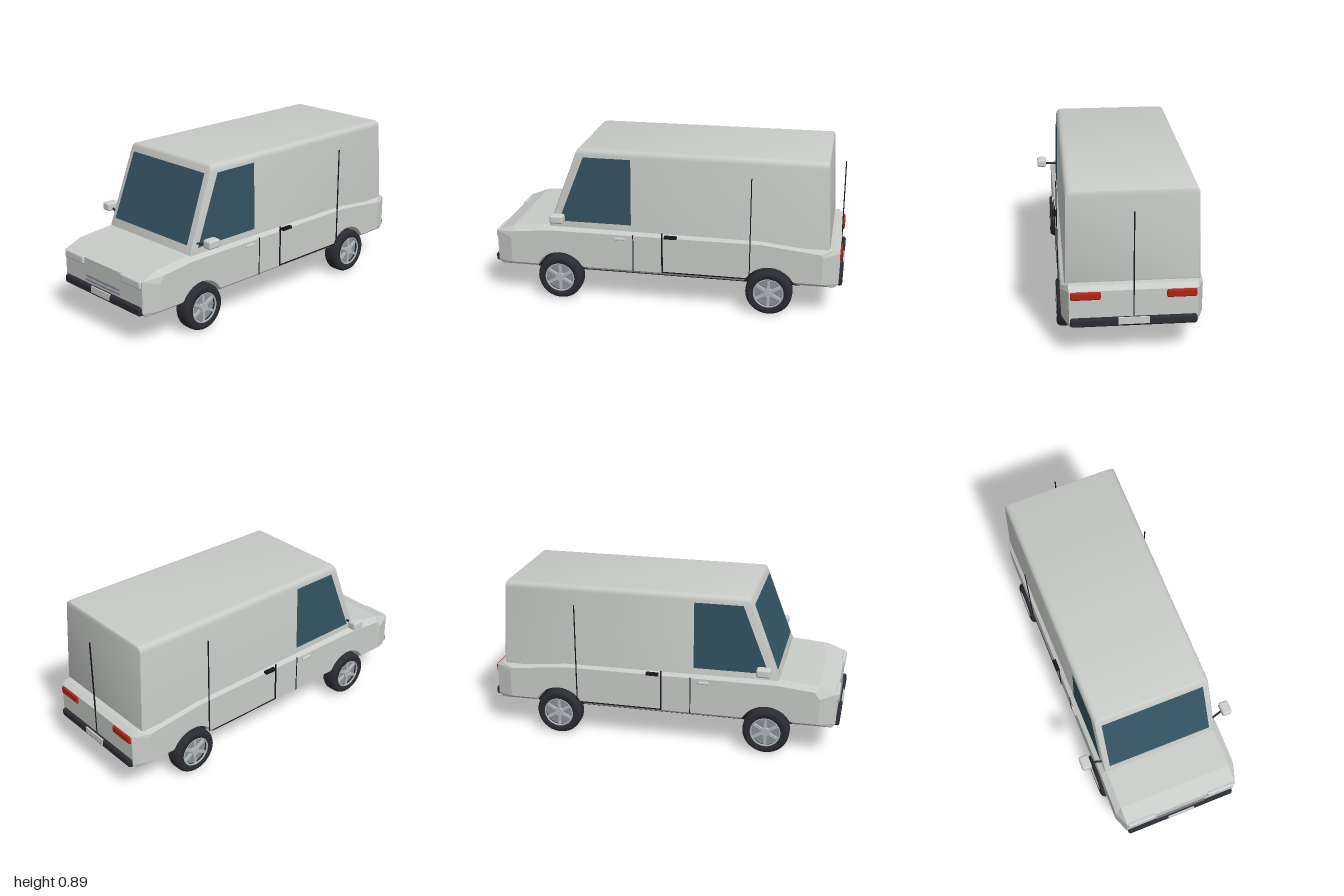
import * as THREE from 'three';
import { toCreasedNormals } from 'three/addons/utils/BufferGeometryUtils.js';
import { RoundedBoxGeometry } from 'three/addons/geometries/RoundedBoxGeometry.js';

const mat = (name, color, side = THREE.FrontSide) => {
  const m = new THREE.MeshStandardMaterial({ color, side });
  m.name = name;
  return m;
};
const PAINT = mat('body paint', 0xc8cbc8);
const GLASS = mat('window glass', 0x335361, THREE.DoubleSide);
const RUBBER = mat('dark rubber', 0x2b2b33);
const BLACK = mat('black', 0x17171a);
const LAMP = mat('lamp grey', 0xccd0ce);
const RED = mat('tail lamp red', 0xb02418);
const RIM = mat('rim grey', 0x899298);
const SPOKE = mat('spoke grey', 0xb4b9bb);
const TRIM = mat('grille grey', 0x74747f);

function add(parent, name, geometry, material, x = 0, y = 0, z = 0) {
  const m = new THREE.Mesh(geometry, material);
  m.name = name;
  m.position.set(x, y, z);
  parent.add(m);
  return m;
}
const box = (w, h, d) => new THREE.BoxGeometry(w, h, d);
const soft = (w, h, d, r) => new RoundedBoxGeometry(w, h, d, 3, r);

// Moves every vertex of a geometry by a rule
function warp(geometry, rule) {
  const p = geometry.attributes.position, v = new THREE.Vector3();
  for (let i = 0; i < p.count; i++) {
    rule(v.fromBufferAttribute(p, i));
    p.setXYZ(i, v.x, v.y, v.z);
  }
  geometry.computeVertexNormals();
  return geometry;
}

function quad(points) {
  const g = new THREE.BufferGeometry().setFromPoints(points.map(p => new THREE.Vector3(...p)));
  g.setIndex([0, 1, 2, 0, 2, 3]);
  g.computeVertexNormals();
  return g;
}

// Lower body: side profile with wheel arches, chamfered towards both flanks
function lowerBody() {
  const pts = [[0.96, 0.175], [0.98, 0.2], [0.98, 0.375], [0.88, 0.415], [0.66, 0.435],
    [-0.55, 0.435], [-0.95, 0.4], [-0.98, 0.38], [-0.98, 0.2], [-0.96, 0.175]];
  for (const c of [-0.6, 0.6]) {
    const a0 = Math.asin(0.045 / 0.15), n = 12;
    for (let i = 0; i <= n; i++) {
      const a = Math.PI - a0 - (Math.PI - 2 * a0) * i / n;
      pts.push([c + 0.15 * Math.cos(a), 0.13 + 0.15 * Math.sin(a)]);
    }
  }
  const shape = new THREE.Shape(pts.map(p => new THREE.Vector2(...p)));
  const g = new THREE.ExtrudeGeometry(shape, { depth: 3, steps: 3, bevelEnabled: false });
  const stations = [0.365, 0.33, -0.33, -0.365];
  return warp(g, v => {
    const layer = Math.round(v.z);
    let z = v.x, y = v.y;
    if (layer === 0 || layer === 3) {
      if (Math.abs(z) > 0.85) z = Math.sign(z) * (0.85 + (Math.abs(z) - 0.85) * 0.3);
      if (y < 0.185) y = 0.2;
      if (y > 0.3) y -= 0.025;
    }
    v.set(stations[layer], y, z);
  });
}

// Cabin planes
const rise = y => (y - 0.43) / 0.46;
const frontZ = y => 0.665 - 0.175 * rise(y);
const rearZ = y => -0.925 + 0.025 * rise(y);
const halfW = (y, z) => 0.347 - 0.01 * rise(y) - 0.008 * (z + 0.9) / 1.5;

// Cabin: round-shouldered section stretched between the sloping front and rear
function cabinShell() {
  const w = 0.34, b = 0.4, t = 0.89, r = 0.035;
  const s = new THREE.Shape();
  s.moveTo(-w, b);
  s.lineTo(w, b);
  s.lineTo(w, t - r);
  s.quadraticCurveTo(w, t, w - r, t);
  s.lineTo(-w + r, t);
  s.quadraticCurveTo(-w, t, -w, t - r);
  const bt = 0.008;
  const g = new THREE.ExtrudeGeometry(s, { depth: 1, curveSegments: 5, bevelThickness: bt,
    bevelSize: 0.012, bevelOffset: -0.012, bevelSegments: 2 });
  warp(g, v => {
    const k = (v.z + bt) / (1 + 2 * bt);
    v.z = rearZ(v.y) + k * (frontZ(v.y) - rearZ(v.y));
    v.x *= halfW(v.y, v.z) / w;
  });
  return toCreasedNormals(g, 0.6);
}

// Wheel, with its outer face towards +x
const TYRE_GEO = new THREE.LatheGeometry([[0.082, -0.046], [0.112, -0.047], [0.123, -0.042],
  [0.13, -0.028], [0.131, 0], [0.13, 0.028], [0.123, 0.042], [0.112, 0.047], [0.086, 0.046],
  [0.082, 0.03], [0.082, -0.046]].map(p => new THREE.Vector2(...p)), 40);
function wheel() {
  const g = new THREE.Group();
  const disc = (name, r, w, m, x) => {
    add(g, name, new THREE.CylinderGeometry(r, r, w, 32), m, x).rotation.z = -Math.PI / 2;
  };
  add(g, 'tyre', TYRE_GEO, RUBBER).rotation.z = -Math.PI / 2;
  disc('innerWheel', 0.083, 0.02, BLACK, -0.01);
  disc('rim', 0.083, 0.025, RIM, 0.0125);
  add(g, 'rimEdge', new THREE.TorusGeometry(0.082, 0.005, 8, 40), SPOKE, 0.042).rotation.y = Math.PI / 2;
  disc('hub', 0.024, 0.03, SPOKE, 0.03);
  for (let i = 0; i < 6; i++) {
    const arm = new THREE.Group();
    arm.rotation.x = i * Math.PI / 3;
    add(arm, 'spoke', box(0.016, 0.064, 0.014), SPOKE, 0.03, 0.05);
    g.add(arm);
  }
  return g;
}

export function createModel() {
  const van = new THREE.Group();
  van.name = 'van';
  add(van, 'lowerBody', lowerBody(), PAINT);
  add(van, 'cabin', cabinShell(), PAINT);
  add(van, 'underside', soft(0.54, 0.036, 1.54, 0.012), BLACK, 0, 0.158);

  // Windscreen
  const wz = y => frontZ(y) + 0.004;
  add(van, 'windscreen', quad([[-0.304, 0.48, wz(0.48)], [0.304, 0.48, wz(0.48)],
    [0.294, 0.845, wz(0.845)], [-0.294, 0.845, wz(0.845)]]), GLASS);

  // Bumpers, number plates and grille
  for (const s of [-1, 1]) {
    const end = s > 0 ? 'front' : 'rear';
    add(van, end + 'Bumper', soft(0.65, 0.048, 0.04, 0.014), RUBBER, 0, 0.208, s * 0.98);
    add(van, end + 'Plate', box(0.16, 0.037, 0.008), LAMP, 0, 0.217, s * 0.998);
  }
  for (const y of [0.252, 0.275]) add(van, 'grilleBar', soft(0.296, 0.008, 0.014, 0.003), TRIM, 0, y, 0.981);
  add(van, 'rearDoorSeam', box(0.006, 0.6, 0.006), BLACK, 0, 0.505, -0.98);

  for (const s of [-1, 1]) {
    const side = new THREE.Group();
    side.name = s > 0 ? 'leftSide' : 'rightSide';
    van.add(side);

    // Side window
    const corners = [[0.465, 0.185], [0.465, 0.605], [0.845, 0.455], [0.845, 0.185]];
    add(side, 'sideWindow', quad(corners.map(([y, z]) => [s * (halfW(y, z) + 0.003), y, z])), GLASS);

    // Lamps
    add(side, 'headlamp', soft(0.166, 0.048, 0.025, 0.011), LAMP, s * 0.242, 0.356, 0.979);
    add(side, 'tailLamp', soft(0.155, 0.044, 0.022, 0.01), RED, s * 0.245, 0.355, -0.98);

    // Door seams and handles
    add(side, 'frontDoorSeam', box(0.005, 0.22, 0.005), BLACK, s * 0.365, 0.305, 0.17);
    add(side, 'slidingDoorFrontSeam', box(0.006, 0.235, 0.008), BLACK, s * 0.366, 0.32, 0.003);
    add(side, 'slidingDoorRearSeam', box(0.005, 0.58, 0.005), BLACK, s * 0.368, 0.5, -0.49);
    add(side, 'slidingDoorLowerSeam', box(0.005, 0.006, 0.47), BLACK, s * 0.365, 0.204, -0.232);
    add(side, 'frontDoorHandle', soft(0.016, 0.016, 0.06, 0.005), LAMP, s * 0.367, 0.388, 0.245);
    add(side, 'slidingDoorHandle', box(0.024, 0.014, 0.07), BLACK, s * 0.37, 0.418, -0.045);

    // Mirror
    add(side, 'mirror', soft(0.056, 0.048, 0.078, 0.012), LAMP, s * 0.427, 0.509, 0.587);
    const arm = new THREE.LineCurve3(new THREE.Vector3(s * 0.33, 0.488, 0.61), new THREE.Vector3(s * 0.41, 0.499, 0.59));
    add(side, 'mirrorArm', new THREE.TubeGeometry(arm, 1, 0.006, 8), RUBBER);

    // Wheels
    for (const z of [-0.6, 0.6]) {
      const w = wheel();
      w.name = z > 0 ? 'frontWheel' : 'rearWheel';
      w.position.set(s * 0.337, 0.131, z);
      if (s < 0) w.rotation.y = Math.PI;
      side.add(w);
    }
  }
  return van;
}
